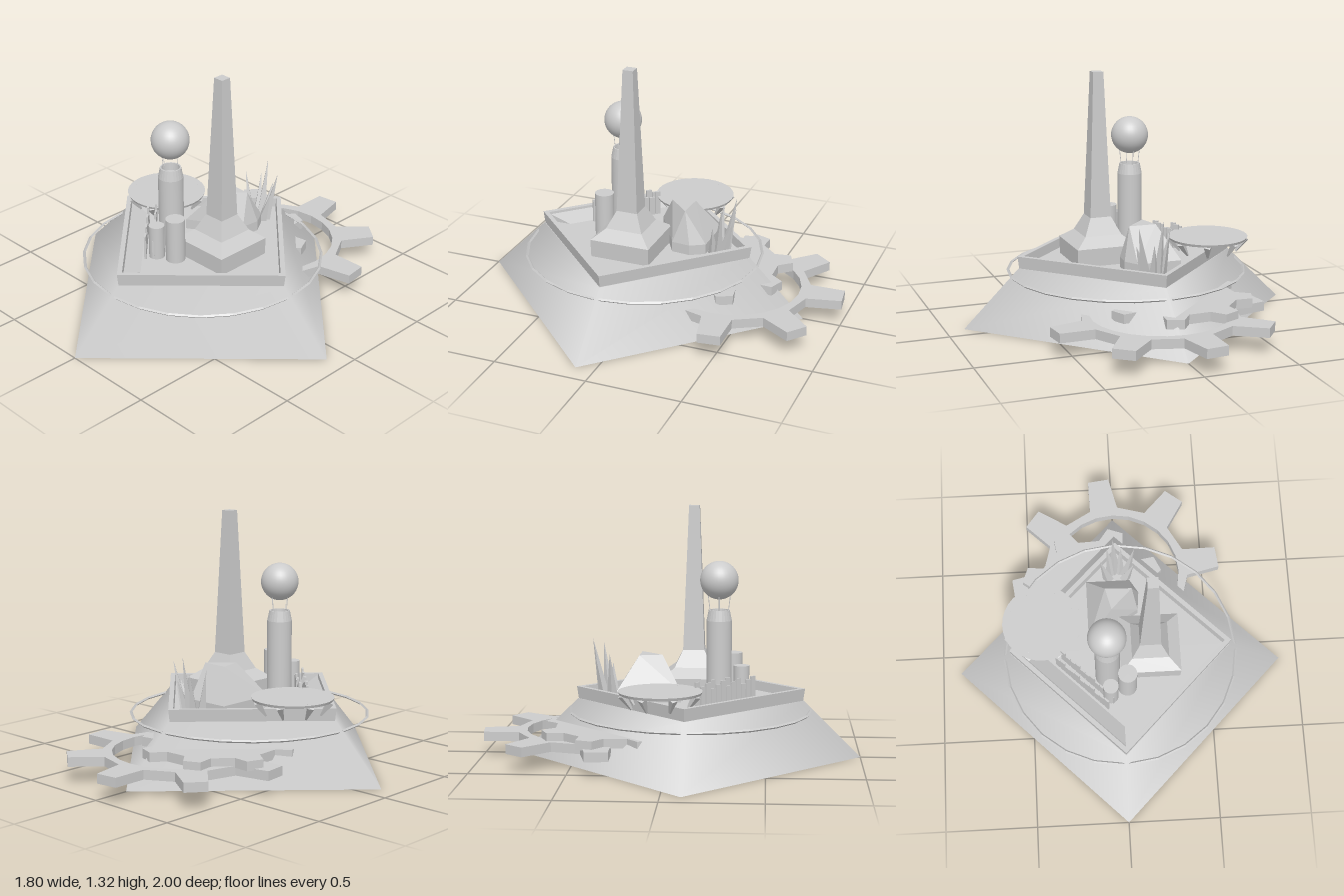
import * as THREE from 'three';
import { ConvexGeometry } from 'three/addons/geometries/ConvexGeometry.js';

const smooth = new THREE.MeshStandardMaterial({ color: 0xcccccc });
const flat = new THREE.MeshStandardMaterial({ color: 0xcccccc, flatShading: true, side: THREE.DoubleSide });
const V = (x, y, z) => new THREE.Vector3(x, y, z);

export function createModel() {
  const model = new THREE.Group();
  const add = (name, geometry, x = 0, y = 0, z = 0, material = flat) => {
    const mesh = new THREE.Mesh(geometry, material);
    mesh.name = name;
    mesh.position.set(x, y, z);
    model.add(mesh);
    return mesh;
  };
  const lathe = (points, sides) =>
    new THREE.LatheGeometry(points.map(([r, y]) => new THREE.Vector2(r, y)), sides);
  // Tapered rod between two points
  const rod = (name, from, to, r0, r1, sides) => {
    const dir = to.clone().sub(from);
    const mid = from.clone().add(to).multiplyScalar(0.5);
    const mesh = add(name, new THREE.CylinderGeometry(r1, r0, dir.length(), sides), mid.x, mid.y, mid.z);
    mesh.quaternion.setFromUnitVectors(V(0, 1, 0), dir.normalize());
    return mesh;
  };
  // Horizontal gear with eight teeth
  const gear = (name, { x, y, z, root, tip, rootWidth, tipWidth, start, depth, hole }) => {
    const outline = [];
    for (let i = 0; i < 8; i++) {
      const a = THREE.MathUtils.degToRad(start + i * 45);
      const r = rootWidth / 2 / root, t = tipWidth / 2 / tip;
      for (const [radius, angle] of [[root, a - r], [tip, a - t], [tip, a + t], [root, a + r]])
        outline.push(new THREE.Vector2(radius * Math.cos(angle), radius * Math.sin(angle)));
    }
    const shape = new THREE.Shape(outline);
    if (hole) shape.holes.push(new THREE.Path().absarc(0, 0, hole, 0, Math.PI * 2, true));
    const geometry = new THREE.ExtrudeGeometry(shape, { depth, bevelEnabled: false, curveSegments: 12 });
    add(name, geometry.rotateX(-Math.PI / 2), x, y, z);
  };

  // Sloped four-sided foundation
  add('foundation', new THREE.CylinderGeometry(0.6, 0.9, 0.3, 4), 0, 0.15, 0.1, smooth);

  // Square tray with raised rim, and a sloped bank along one inner edge
  add('tray', lathe([[0, 0.295], [0.595, 0.295], [0.605, 0.365], [0.57, 0.365], [0.565, 0.315], [0, 0.315]], 4), 0, 0, 0.1);
  add('trayBank', new ConvexGeometry([
    V(-0.56, 0.355, 0.1), V(0, 0.355, 0.66), V(-0.56, 0.31, 0.1),
    V(0, 0.31, 0.66), V(-0.43, 0.31, 0.1), V(0, 0.31, 0.53),
  ]));

  // Thin ring in four arcs with small gaps
  for (let i = 0; i < 4; i++) {
    const arc = add('ringArc', new THREE.TorusGeometry(0.635, 0.008, 4, 6, Math.PI / 2 - 0.04)
      .rotateZ(0.02).rotateX(-Math.PI / 2), 0, 0.25, 0.1);
    arc.rotation.y = i * Math.PI / 2;
  }

  // Gears emerging from the back of the foundation
  gear('largeGear', { x: 0, y: 0.088, z: -0.41, root: 0.41, tip: 0.59, rootWidth: 0.16, tipWidth: 0.12, start: 7, depth: 0.05, hole: 0.36 });
  gear('smallGear', { x: -0.13, y: 0.13, z: -0.27, root: 0.33, tip: 0.41, rootWidth: 0.14, tipWidth: 0.09, start: 25, depth: 0.05 });

  // Square tapering tower on a stepped base
  const half = [[0, 0.31], [0.16, 0.31], [0.163, 0.41], [0.1, 0.46], [0.057, 0.55], [0.028, 1.32], [0, 1.32]];
  add('tower', lathe(half.map(([h, y]) => [h * Math.SQRT2, y]), 4).rotateY(Math.PI / 4), 0.157, 0, 0.112);

  // Tall drum with an open top, wires and a floating ball
  const drum = V(-0.077, 0, 0.253);
  add('drum', lathe([[0.066, 0.31], [0.066, 0.735]], 24), drum.x, 0, drum.z, smooth);
  add('drumCollar', lathe([[0.066, 0.735], [0.055, 0.79], [0.048, 0.79], [0.045, 0.75], [0, 0.75]], 24), drum.x, 0, drum.z);
  add('ball', new THREE.SphereGeometry(0.1, 32, 20), drum.x, 0.945, drum.z, smooth);
  for (let i = 0; i < 4; i++) {
    const a = i * Math.PI / 2;
    const at = (r, y) => V(drum.x + r * Math.cos(a), y, drum.z + r * Math.sin(a));
    rod('ballWire', at(0.047, 0.78), at(0.058, 0.87), 0.002, 0.002, 4);
  }

  // Two shorter drums
  for (const [x, z, r, top] of [[0.027, 0.322, 0.051, 0.552], [-0.065, 0.37, 0.041, 0.497]])
    add('shortDrum', new THREE.CylinderGeometry(r, r, top - 0.31, 24), x, (top + 0.31) / 2, z, smooth);

  // Round platform on inward-leaning tapered legs
  const disc = V(-0.422, 0, -0.03);
  add('platform', new THREE.CylinderGeometry(0.214, 0.208, 0.014, 32), disc.x, 0.414, disc.z);
  for (let i = 0; i < 8; i++) {
    const a = (i + 0.5) * Math.PI / 4;
    const at = (r, y) => V(disc.x + r * Math.cos(a), y, disc.z + r * Math.sin(a));
    rod('platformLeg', at(0.15, 0.335), at(0.2, 0.41), 0.006, 0.024, 4);
  }

  // Faceted block with a flat triangular top
  const foot = [[-0.17, -0.275], [0.07, -0.275], [0.115, -0.2], [0.105, -0.1], [-0.17, 0.06]];
  const crown = [[-0.07, -0.165], [0.075, -0.16], [-0.04, -0.045]];
  add('facetedBlock', new ConvexGeometry([
    ...foot.map(([x, z]) => V(x, 0.31, z)),
    ...foot.map(([x, z]) => V(x, 0.37, z)),
    ...crown.map(([x, z]) => V(x, 0.545, z)),
  ]));

  // Cluster of leaning spikes
  const spikes = [[-0.09, 0.555, -0.32], [-0.05, 0.54, -0.4], [-0.015, 0.625, -0.415], [0.03, 0.5, -0.41], [0.1, 0.59, -0.37], [0.095, 0.48, -0.32]];
  for (const [x, y, z] of spikes)
    rod('spike', V(x * 0.5, 0.31, z * 0.5 - 0.15), V(x, y, z), 0.03, 0, 4);

  // Rows of small upright slabs with an uneven top, beside the bank
  for (let row = 0; row < 2; row++)
    for (let i = 0; i < 11; i++) {
      const t = i / 10, h = 0.115 + 0.018 * Math.sin(i * 2.1 + row * 1.7);
      const slab = add('slab', new THREE.BoxGeometry(0.03, h, 0.01),
        -0.34 + 0.25 * t + row * 0.03, 0.315 + h / 2, 0.18 + 0.25 * t - row * 0.03);
      slab.rotation.y = -Math.PI / 4;
    }

  return model;
}
